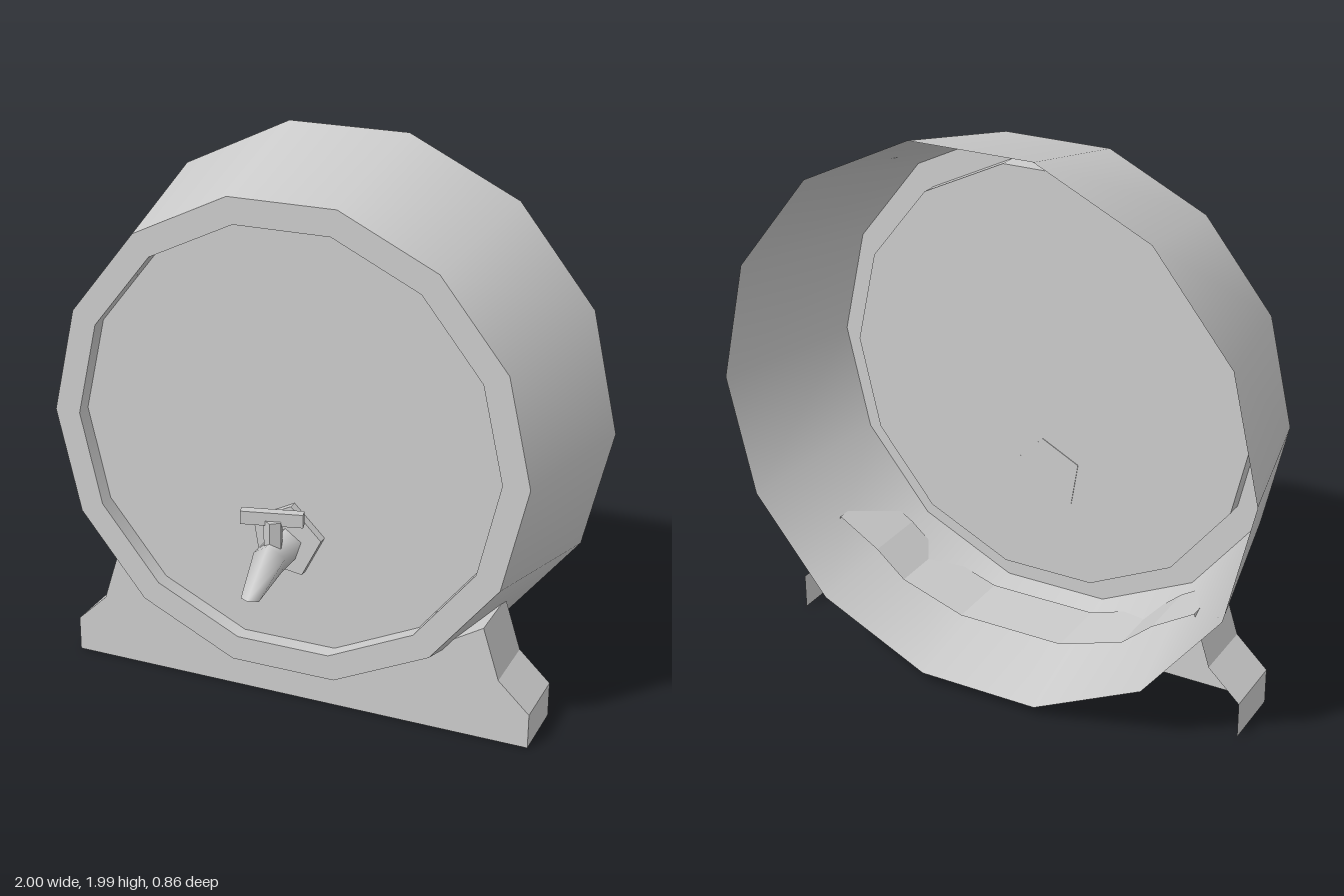
import * as THREE from 'three';

const SIDES = 14;
const CENTER_Y = 1.015;
const smooth = new THREE.MeshStandardMaterial({ color: 0xcccccc, side: THREE.DoubleSide });
const flat = new THREE.MeshStandardMaterial({ color: 0xcccccc, side: THREE.DoubleSide, flatShading: true });

function add(group, name, geometry, material, x = 0, y = 0, z = 0) {
  const mesh = new THREE.Mesh(geometry, material);
  mesh.name = name;
  mesh.position.set(x, y, z);
  group.add(mesh);
  return mesh;
}

// Open tube along z, with a corner on the x axis
function tube(frontRadius, backRadius, depth) {
  return new THREE.CylinderGeometry(frontRadius, backRadius, depth, SIDES, 1, true, Math.PI / 2)
    .rotateX(Math.PI / 2);
}

// Joins rings of equal point count into a skin; closed rings wrap around
function skin(rings, closed) {
  const n = rings[0].length;
  const index = [];
  for (let r = 0; r < rings.length - 1; r++) {
    for (let i = 0; i < (closed ? n : n - 1); i++) {
      const j = (i + 1) % n;
      const a = r * n + i, b = r * n + j, c = a + n, d = b + n;
      index.push(a, b, d, a, d, c);
    }
  }
  const geometry = new THREE.BufferGeometry().setFromPoints(rings.flat());
  geometry.setIndex(index);
  geometry.computeVertexNormals();
  return geometry;
}

function makeBarrel() {
  const barrel = new THREE.Group();
  barrel.name = 'barrel';
  barrel.position.y = CENTER_Y;
  add(barrel, 'barrelShell', tube(0.875, 1, 0.57), smooth, 0, 0, -0.145);
  add(barrel, 'frontRim', new THREE.RingGeometry(0.78, 0.875, SIDES), smooth, 0, 0, 0.14);
  add(barrel, 'rimInnerWall', tube(0.78, 0.78, 0.06), smooth, 0, 0, 0.11);
  add(barrel, 'barrelHead', new THREE.CircleGeometry(0.78, SIDES), smooth, 0, 0, 0.08);
  return barrel;
}

function makeStand() {
  const stand = new THREE.Group();
  stand.name = 'stand';
  // Half outline from foot to cradle, then mirrored
  const half = [[0.88, 0], [0.88, 0.13], [0.765, 0.24], [0.705, 0.43], [0.55, 0.335], [0.44, 0.24], [0.2, 0.16]];
  const outline = [...half, ...half.map(([x, y]) => [-x, y]).reverse()];
  const shape = new THREE.Shape(outline.map(([x, y]) => new THREE.Vector2(x, y)));
  add(stand, 'standFront', new THREE.ShapeGeometry(shape), flat, 0, 0, 0.04);
  // Sides and cradle, open at the back and below
  const rings = [0.04, -0.2].map((z) => outline.map(([x, y]) => new THREE.Vector3(x, y, z)));
  add(stand, 'standSides', skin(rings, false), flat);
  return stand;
}

function makeTap() {
  const tap = new THREE.Group();
  tap.name = 'tap';

  // Five-sided wall plate
  const plate = new THREE.CylinderGeometry(0.135, 0.135, 0.035, 5).rotateX(Math.PI / 2);
  add(tap, 'tapPlate', plate, flat, 0, 0.655, 0.095).rotation.z = Math.PI / 2 + 0.16;

  // Spout: height, depth, radius and pitch of each section
  const sections = [
    [0.64, 0.08, 0.062, 0],
    [0.64, 0.24, 0.062, 0.3],
    [0.562, 0.395, 0.035, 1.3],
  ];
  const rings = sections.map(([y, z, r, pitch]) => Array.from({ length: 5 }, (_, i) => {
    const a = Math.PI / 2 + (i * Math.PI * 2) / 5;
    const up = r * Math.sin(a);
    return new THREE.Vector3(r * Math.cos(a), y + up * Math.cos(pitch), z + up * Math.sin(pitch));
  }));
  add(tap, 'spout', skin(rings, true), smooth);
  const mouth = new THREE.CircleGeometry(0.035, 5, Math.PI / 2);
  add(tap, 'spoutMouth', mouth, flat, 0, 0.562, 0.395).rotation.x = 1.3;

  // Valve stem and turned handle
  add(tap, 'valveStem', new THREE.CylinderGeometry(0.034, 0.034, 0.1, 5), flat, 0, 0.725, 0.21);
  add(tap, 'handle', new THREE.BoxGeometry(0.217, 0.048, 0.034), flat, -0.007, 0.782, 0.205).rotation.y = 0.25;
  return tap;
}

export function createModel() {
  const model = new THREE.Group();
  model.name = 'tappedBarrel';
  model.add(makeBarrel(), makeStand(), makeTap());
  return model;
}
